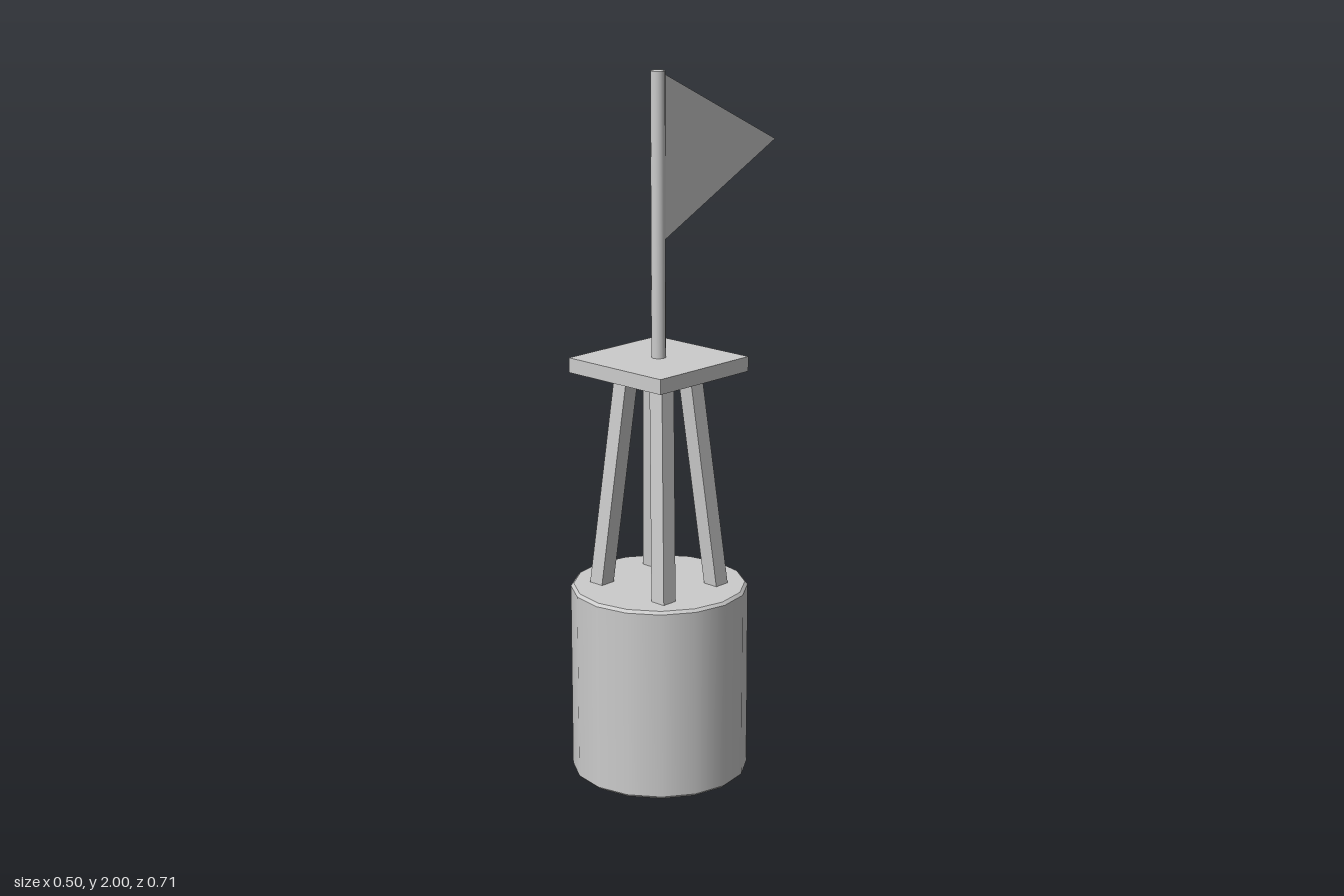
import * as THREE from 'three';

const CZ = 0.107; // the buoy axis sits forward of the centre, balancing the flag

export function createModel() {
  const group = new THREE.Group();
  const material = new THREE.MeshStandardMaterial({ color: 0xcccccc });
  const add = (name, geometry, x, y, z) => {
    const mesh = new THREE.Mesh(geometry, material);
    mesh.name = name;
    mesh.position.set(x, y, z);
    group.add(mesh);
    return mesh;
  };

  // Drum float with slightly bevelled rims; doubled points keep the caps flat
  const profile = [
    [0, 0], [0.242, 0], [0.242, 0], [0.25, 0.008], [0.25, 0.008],
    [0.25, 0.547], [0.25, 0.547], [0.242, 0.555], [0.242, 0.555], [0, 0.555],
  ].map(([r, y]) => new THREE.Vector2(r, y));
  add('float', new THREE.LatheGeometry(profile, 16), 0, 0, CZ);

  // Four square legs leaning in towards the platform
  const bottom = 0.54, top = 1.18;
  for (const sx of [-1, 1]) {
    for (const sz of [-1, 1]) {
      const leg = new THREE.BoxGeometry(0.047, top - bottom, 0.047);
      const p = leg.attributes.position;
      for (let i = 0; i < p.count; i++) {
        const up = p.getY(i) > 0;
        p.setX(i, p.getX(i) + sx * (up ? 0.066 : 0.122));
        p.setZ(i, p.getZ(i) + sz * (up ? 0.055 : 0.108));
      }
      leg.computeVertexNormals();
      add('leg', leg, 0, (bottom + top) / 2, CZ + 0.002);
    }
  }

  // Platform and flagpole
  add('platform', new THREE.BoxGeometry(0.35, 0.042, 0.35), 0, 1.19, CZ);
  add('pole', new THREE.CylinderGeometry(0.02, 0.02, 0.8, 16), 0, 1.6, CZ);

  // Triangular pennant pointing backwards, with its shape's x axis turned to -z
  const shape = new THREE.Shape([
    new THREE.Vector2(0, 1.54),
    new THREE.Vector2(0.45, 1.765),
    new THREE.Vector2(0, 1.99),
  ]);
  const flag = new THREE.ExtrudeGeometry(shape, { depth: 0.025, bevelEnabled: false });
  flag.translate(0, 0, -0.0125);
  flag.rotateY(Math.PI / 2);
  add('flag', flag, 0, 0, 0.093);

  return group;
}
